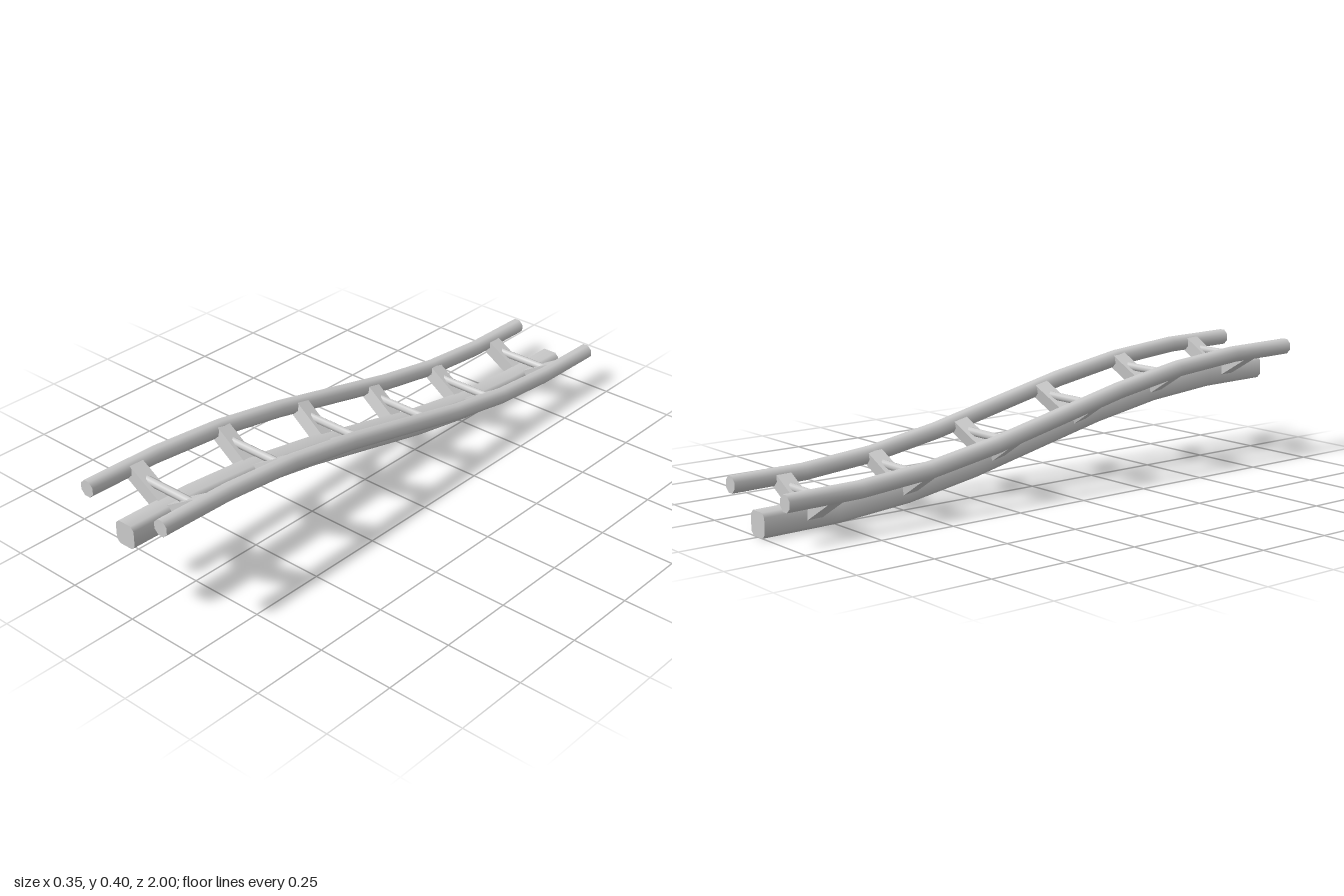
import * as THREE from 'three';
import { toCreasedNormals } from 'three/addons/utils/BufferGeometryUtils.js';

const material = new THREE.MeshStandardMaterial({ color: 0xcccccc });
const SEGMENTS = 8;
const RAIL_X = 0.15, RAIL_UP = 0.0875; // rail centre relative to the spine centre

// Track centre line: an S-shaped slope from the high front to the low back
function height(z) {
  const t = (z + 1) / 2;
  return 0.0375 + 0.25 * t * t * t * (t * (6 * t - 15) + 10);
}
function tilt(z) {
  const t = (z + 1) / 2;
  return Math.atan(0.125 * 30 * t * t * (1 - t) * (1 - t));
}

// Bevelled rectangle, counter-clockwise
function bevelled(w, h, b) {
  return [[w, b - h], [w, h - b], [w - b, h], [b - w, h],
    [-w, h - b], [-w, b - h], [b - w, -h], [w - b, -h]];
}

// Sweeps a section along the track, offset sideways and along the track normal
function sweep(section, offX, offUp) {
  const pos = [], index = [], n = section.length;
  for (let i = 0; i <= SEGMENTS; i++) {
    const z = -1 + (2 * i) / SEGMENTS, a = tilt(z);
    for (const [x, u] of section) {
      const up = u + offUp;
      pos.push(x + offX, height(z) + up * Math.cos(a), z - up * Math.sin(a));
    }
  }
  for (let i = 0; i < SEGMENTS; i++) {
    for (let j = 0; j < n; j++) {
      const a = i * n + j, b = i * n + (j + 1) % n;
      index.push(a, b, b + n, a, b + n, a + n);
    }
  }
  const last = SEGMENTS * n;
  for (let j = 1; j < n - 1; j++) {
    index.push(0, j + 1, j, last, last + j, last + j + 1);
  }
  const geo = new THREE.BufferGeometry();
  geo.setAttribute('position', new THREE.Float32BufferAttribute(pos, 3));
  geo.setIndex(index);
  return toCreasedNormals(geo, THREE.MathUtils.degToRad(50));
}

function part(name, geometry, parent) {
  const mesh = new THREE.Mesh(geometry, material);
  mesh.name = name;
  parent.add(mesh);
  return mesh;
}

export function createModel() {
  const track = new THREE.Group();
  track.name = 'coasterTrack';

  // Thick spine below, two round rails above
  part('spine', sweep(bevelled(0.0365, 0.0375, 0.0125), 0, 0), track);
  const railSection = bevelled(0.0245, 0.025, 0.0145);
  part('leftRail', sweep(railSection, RAIL_X, RAIL_UP), track);
  part('rightRail', sweep(railSection, -RAIL_X, RAIL_UP), track);

  // Ties: a V of two arms and a cross rod, square to the slope
  const armLength = Math.hypot(RAIL_X, RAIL_UP);
  const armGeo = new THREE.BoxGeometry(armLength, 0.045, 0.05);
  const rodGeo = new THREE.CylinderGeometry(0.013, 0.013, 0.24, 8).rotateZ(Math.PI / 2);
  for (let i = 0; i < 6; i++) {
    const z = 1 - (i + 0.5) / 3;
    const tie = new THREE.Group();
    tie.name = `tie${i + 1}`;
    tie.position.set(0, height(z), z);
    tie.rotation.x = -tilt(z);
    for (const side of [1, -1]) {
      const arm = part(side > 0 ? 'leftArm' : 'rightArm', armGeo, tie);
      arm.position.set(side * RAIL_X / 2, RAIL_UP / 2, 0);
      arm.rotation.z = side * Math.atan2(RAIL_UP, RAIL_X);
    }
    part('crossRod', rodGeo, tie).position.y = 0.066;
    track.add(tie);
  }
  return track;
}
